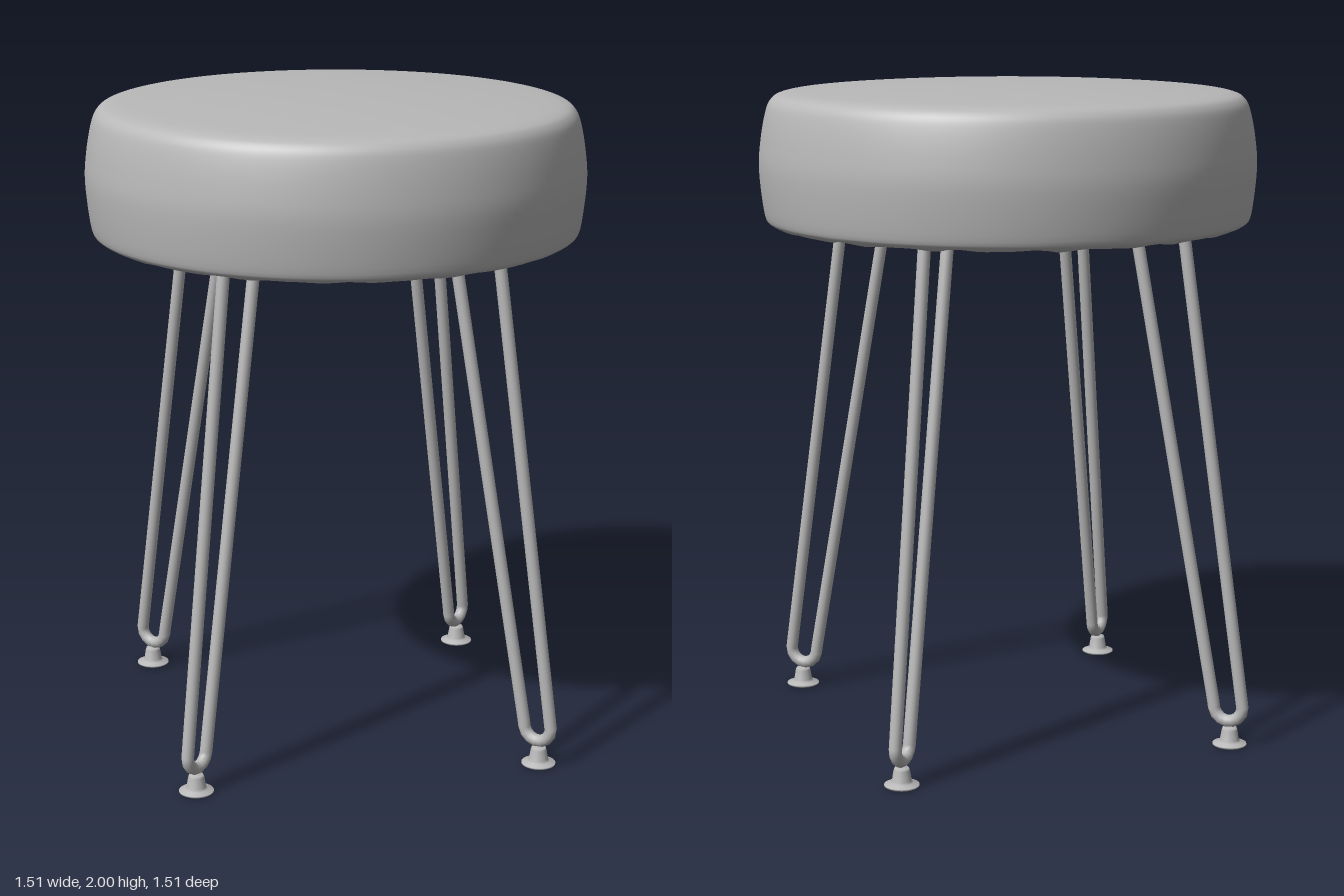
import * as THREE from 'three';

export function createModel() {
  const model = new THREE.Group();
  model.name = 'stool';
  const grey = new THREE.MeshStandardMaterial({ color: 0xb8b8b8 });
  grey.name = 'grey';
  const V2 = (x, y) => new THREE.Vector2(x, y);
  const V3 = (x, y, z) => new THREE.Vector3(x, y, z);

  function add(parent, name, geometry, x = 0, y = 0, z = 0) {
    const mesh = new THREE.Mesh(geometry, grey);
    mesh.name = name;
    mesh.position.set(x, y, z);
    parent.add(mesh);
    return mesh;
  }

  // Padded cushion: one smooth profile from the tucked hem to the domed top
  const outline = new THREE.SplineCurve([
    V2(0.655, 1.605), V2(0.665, 1.58), V2(0.69, 1.572), V2(0.725, 1.58), V2(0.742, 1.61),
    V2(0.756, 1.74), V2(0.75, 1.83), V2(0.735, 1.91), V2(0.718, 1.95), V2(0.685, 1.969),
    V2(0.6, 1.979), V2(0.4, 1.991), V2(0.2, 1.998), V2(0, 2),
  ]).getPoints(60);
  outline[outline.length - 1].x = 0;
  const cushion = new THREE.LatheGeometry(outline, 128);

  // Gathered folds along the hem underneath
  const p = cushion.attributes.position;
  for (let i = 0; i < p.count; i++) {
    const x = p.getX(i), y = p.getY(i), z = p.getZ(i);
    const r = Math.hypot(x, z);
    if (y > 1.6 || r < 0.6) continue;
    const a = Math.atan2(z, x);
    const fold = Math.sin(a * 23) * 0.6 + Math.sin(a * 37 + 1) * 0.4;
    const amount = THREE.MathUtils.clamp((0.735 - r) / 0.04, 0, 1);
    const s = 1 + fold * amount * 0.012 / r;
    p.setXYZ(i, x * s, y + fold * amount * 0.007, z * s);
  }
  const seam = cushion.attributes.normal.clone();
  cushion.computeVertexNormals();
  // Keep the normals continuous where the lathe closes
  const n = cushion.attributes.normal, rows = outline.length;
  for (let j = 0; j < rows; j++) {
    for (const i of [j, p.count - rows + j]) n.setXYZ(i, seam.getX(i), seam.getY(i), seam.getZ(i));
  }
  add(model, 'cushion', cushion);

  // Flat board closing the underside
  add(model, 'baseBoard', new THREE.CylinderGeometry(0.685, 0.685, 0.03, 64), 0, 1.605, 0);

  // Mounting plate: a triangle with a clipped tip, wide edge towards the centre
  const plateShape = new THREE.Shape([
    V2(-0.265, 0.38), V2(0.265, 0.38), V2(0.265, 0.41), V2(0.06, 0.635), V2(-0.06, 0.635), V2(-0.265, 0.41),
  ]);
  const plate = new THREE.ExtrudeGeometry(plateShape, { depth: 0.015, bevelEnabled: false });
  plate.rotateX(Math.PI / 2);

  // Hairpin rod: two straight runs joined by a round bend, drawn in the radial plane
  const hairpin = new THREE.CurvePath();
  const bendR = 0.046, bendY = 0.123, footR = 0.745;
  const outerTop = V3(0, 1.585, 0.572), innerTop = V3(0, 1.585, 0.418);
  const bend = [];
  for (let i = 0; i <= 12; i++) {
    const a = -Math.PI * i / 12;
    bend.push(V3(0, bendY + Math.sin(a) * bendR, footR - 0.006 + Math.cos(a) * bendR));
  }
  hairpin.add(new THREE.LineCurve3(outerTop, bend[0]));
  hairpin.add(new THREE.CatmullRomCurve3(bend));
  hairpin.add(new THREE.LineCurve3(bend[12], innerTop));
  const rod = new THREE.TubeGeometry(hairpin, 160, 0.019, 14);

  // Levelling foot: wide thin disc and tapered neck
  const foot = new THREE.LatheGeometry([
    V2(0, 0), V2(0.045, 0), V2(0.052, 0.004), V2(0.052, 0.008), V2(0.034, 0.013),
    V2(0.029, 0.02), V2(0.024, 0.05), V2(0.021, 0.058), V2(0, 0.06),
  ], 24);
  const collar = new THREE.CylinderGeometry(0.03, 0.021, 0.014, 16);
  const screw = new THREE.CylinderGeometry(0.016, 0.011, 0.006, 14);

  // Four legs on the diagonals
  const names = ['frontLeftLeg', 'backLeftLeg', 'backRightLeg', 'frontRightLeg'];
  names.forEach((name, k) => {
    const leg = new THREE.Group();
    leg.name = name;
    leg.rotation.y = Math.PI / 4 + k * Math.PI / 2;
    add(leg, 'mountingPlate', plate, 0, 1.59, 0);
    add(leg, 'hairpinRod', rod);
    add(leg, 'foot', foot, 0, 0, footR);
    for (const z of [0.42, 0.57]) add(leg, 'weldCollar', collar, 0, 1.569, z);
    for (const side of [-1, 1]) {
      add(leg, 'screw', screw, side * 0.2, 1.572, 0.415);
      add(leg, 'screw', screw, side * 0.065, 1.572, 0.575);
    }
    model.add(leg);
  });
  return model;
}
